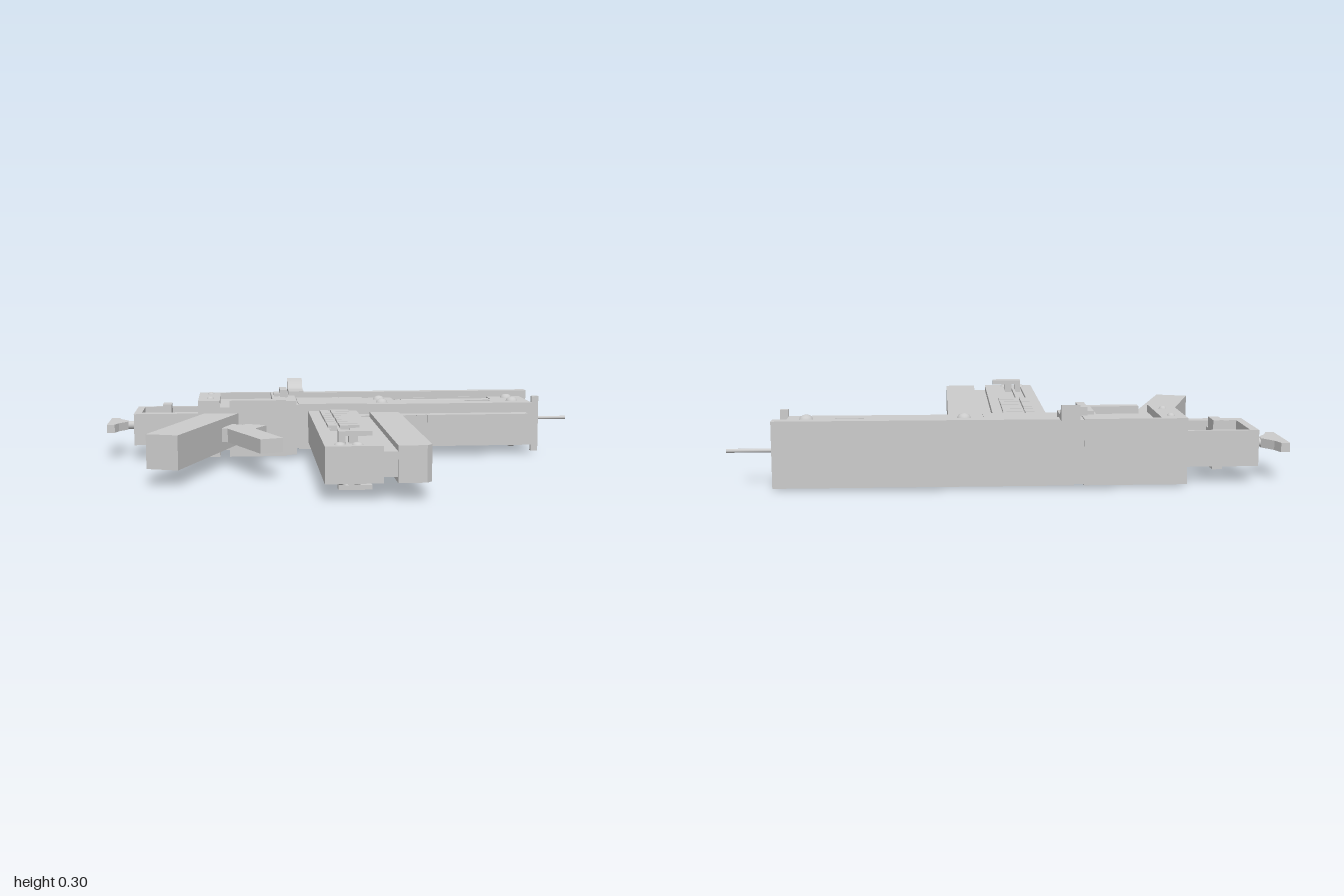
import * as THREE from 'three';

const MID = 0.135; // height of the plane of symmetry
const mat = new THREE.MeshStandardMaterial({ color: 0xcccccc, flatShading: true });
const smooth = new THREE.MeshStandardMaterial({ color: 0xcccccc });

export function createModel() {
  const root = new THREE.Group();

  const add = (name, geo, m = mat) => {
    const mesh = new THREE.Mesh(geo, m);
    mesh.name = name;
    root.add(mesh);
    return mesh;
  };
  // Box given by its limits
  const box = (name, x0, x1, y0, y1, z0, z1) =>
    add(name, new THREE.BoxGeometry(x1 - x0, y1 - y0, z1 - z0)
      .translate((x0 + x1) / 2, (y0 + y1) / 2, (z0 + z1) / 2));
  // Plan outline in (x, z) raised from y0 to y1
  const prism = (name, pts, y0, y1, holes = []) => {
    const v = (list) => list.map(([x, z]) => new THREE.Vector2(x, z));
    const shape = new THREE.Shape(v(pts));
    holes.forEach((h) => shape.holes.push(new THREE.Path(v(h))));
    return add(name, new THREE.ExtrudeGeometry(shape, { depth: y1 - y0, bevelEnabled: false })
      .rotateX(Math.PI / 2).translate(0, y1, 0));
  };
  const rect = (x0, x1, z0, z1) => [[x0, z0], [x1, z0], [x1, z1], [x0, z1]];
  // Rod along x
  const rod = (name, r, x0, x1, y, z) =>
    add(name, new THREE.CylinderGeometry(r, r, x1 - x0, 24)
      .rotateZ(Math.PI / 2).translate((x0 + x1) / 2, y, z), smooth);
  // Same detail on the upper and lower faces: y measured outward from the middle
  const bothBox = (name, x0, x1, h0, h1, z0, z1) => {
    box(name, x0, x1, MID + h0, MID + h1, z0, z1);
    box(name, x0, x1, MID - h1, MID - h0, z0, z1);
  };
  const bothPrism = (name, pts, h0, h1, holes) => {
    prism(name, pts, MID + h0, MID + h1, holes);
    prism(name, pts, MID - h1, MID - h0, holes);
  };
  const bothRivets = (name, r, h, base, spots) => {
    for (const [x, z] of spots) for (const s of [1, -1]) {
      const profile = [[0, h], [r * 0.5, h * 0.9], [r * 0.85, h * 0.55], [r, 0]].reverse();
      const g = new THREE.LatheGeometry(profile.map(([a, b]) => new THREE.Vector2(a, b)), 16);
      if (s < 0) g.rotateX(Math.PI);
      add(name, g.translate(x, MID + s * base, z), smooth);
    }
  };

  // Long housing: core, and face plates with a long slot and a small port
  box('housingCore', -0.22, 0.8, MID - 0.05, MID + 0.05, -0.57, -0.325);
  const port = [[0.52, -0.4], [0.535, -0.425], [0.555, -0.437], [0.637, -0.437], [0.637, -0.405], [0.62, -0.39], [0.53, -0.39]];
  bothPrism('housingFace', rect(-0.22, 0.8, -0.57, -0.325), 0.05, 0.092,
    [rect(0.22, 0.65, -0.555, -0.465), port]);
  bothBox('portInsert', 0.545, 0.625, 0.05, 0.08, -0.425, -0.402);
  bothBox('slotStop', 0.235, 0.26, 0.05, 0.085, -0.55, -0.47);
  rod('slotCylinder', 0.045, 0.26, 0.65, MID + 0.045, -0.51);
  rod('slotCylinder', 0.045, 0.26, 0.65, MID - 0.045, -0.51);
  bothRivets('housingRivet', 0.025, 0.016, 0.092,
    [[0.16, -0.5], [0.16, -0.39], [0.73, -0.515], [0.73, -0.4]]);
  bothPrism('receiverPlate', [[-0.2, -0.557], [-0.11, -0.557], [-0.11, -0.585], [-0.015, -0.585],
    [-0.015, -0.557], [0.09, -0.557], [0.09, -0.325], [-0.2, -0.325]], 0.09, 0.096);

  // Back plate, end lip and thin barrel rod
  box('backPlate', -0.22, 0.83, MID - 0.118, MID + 0.118, -0.605, -0.56);
  box('endLip', 0.8, 0.83, MID - 0.118, MID + 0.118, -0.345, -0.325);
  rod('barrelRod', 0.007, 0.79, 1, MID, -0.512);

  // Front rail with a narrow groove
  box('frontRail', 0.05, 0.275, MID - 0.05, MID + 0.05, -0.33, -0.27);
  box('railGroove', 0.275, 0.34, MID - 0.05, MID + 0.05, -0.33, -0.278);
  box('railRib', 0.295, 0.325, MID - 0.05, MID + 0.05, -0.33, -0.27);
  box('frontRail', 0.34, 0.775, MID - 0.05, MID + 0.05, -0.33, -0.27);

  // Rear block with a recess that opens to the front through a channel
  box('rearBlockCore', -0.62, -0.255, MID - 0.09, MID + 0.09, -0.605, -0.285);
  const rim = [[-0.62, -0.605], [-0.255, -0.605], [-0.255, -0.285], [-0.49, -0.285], [-0.49, -0.325],
    [-0.31, -0.325], [-0.31, -0.587], [-0.53, -0.587], [-0.53, -0.285], [-0.62, -0.285]];
  bothPrism('rearBlockRim', rim, 0.09, 0.118);
  box('joinCollar', -0.255, -0.21, MID - 0.114, MID + 0.114, -0.603, -0.288);
  bothRivets('rearBlockBolt', 0.014, 0.009, 0.118, [[-0.57, -0.543], [-0.57, -0.38]]);

  // Hinge and curved catch on the top
  box('hingeBase', -0.3, -0.24, 0.25, 0.265, -0.505, -0.43);
  box('hingeBar', -0.275, -0.245, 0.25, 0.283, -0.525, -0.405);
  const hook = new THREE.Shape();
  hook.moveTo(0.49, 0.24);
  hook.lineTo(0.6, 0.24);
  hook.lineTo(0.6, 0.253);
  hook.lineTo(0.648, 0.253);
  hook.lineTo(0.648, 0.31);
  hook.lineTo(0.635, 0.308);
  hook.quadraticCurveTo(0.61, 0.27, 0.575, 0.267);
  hook.lineTo(0.49, 0.267);
  add('catchHook', new THREE.ExtrudeGeometry(hook, { depth: 0.065, bevelEnabled: false, curveSegments: 8 })
    .rotateY(Math.PI / 2).translate(-0.235, 0, 0));

  // Open rear frame with plunger rod, block and flared pull handle
  prism('rearFrame', rect(-0.885, -0.61, -0.56, -0.295), 0.07, 0.2, [rect(-0.855, -0.62, -0.543, -0.345)]);
  rod('plungerRod', 0.017, -0.95, -0.61, MID, -0.442);
  box('plungerBlock', -0.772, -0.735, 0.045, 0.225, -0.49, -0.405);
  box('plungerCrossbar', -0.765, -0.74, 0.09, 0.18, -0.535, -0.355);
  prism('pullHandle', [[-1, -0.553], [-0.968, -0.553], [-0.955, -0.51], [-0.92, -0.46], [-0.92, -0.425],
    [-0.955, -0.375], [-0.968, -0.333], [-1, -0.333]], 0.118, 0.152);

  // Slanted grip and bent trigger lever
  prism('grip', [[-0.596, -0.29], [-0.452, -0.29], [-0.676, 0.326], [-0.794, 0.283]], 0.07, 0.2);
  prism('triggerLever', [[-0.52, -0.09], [-0.484, -0.22], [-0.436, -0.187], [-0.42, -0.214],
    [-0.34, -0.166], [-0.388, -0.075], [-0.286, 0.187], [-0.372, 0.219], [-0.497, -0.08]], 0.11, 0.165);

  // Magazine: main body, recessed web, and chamfered front bar
  box('magazineCore', -0.16, 0.045, 0.08, 0.19, -0.33, 0.645);
  bothPrism('magazineFace', rect(-0.16, 0.045, -0.33, 0.645), 0.055, 0.066,
    [rect(-0.112, -0.08, 0.2, 0.58), rect(-0.07, -0.035, 0.2, 0.58)]);
  box('magazineWeb', 0.04, 0.1, 0.09, 0.18, -0.33, 0.64);
  prism('magazineBar', [[0.095, -0.265], [0.2, -0.265], [0.217, -0.245], [0.217, 0.622],
    [0.197, 0.645], [0.095, 0.645]], MID - 0.066, MID + 0.066);

  // Magazine ribs in two columns, sliding latch and end bolts
  for (let i = 0; i < 8; i++) {
    const z = -0.28 + i * 0.0605;
    bothBox('magazineRib', -0.115, -0.08, 0.06, 0.076, z, z + 0.052);
    bothBox('magazineRib', -0.07, 0.005, 0.06, 0.076, z, z + 0.052);
  }
  bothBox('latch', -0.105, 0.015, 0.088, 0.105, 0.507, 0.553);
  bothBox('latchStem', -0.105, -0.08, 0.05, 0.09, 0.507, 0.553);
  bothBox('latchStem', -0.068, -0.037, 0.05, 0.09, 0.507, 0.553);
  bothRivets('magazineBolt', 0.02, 0.009, 0.066, [[-0.105, 0.607], [-0.043, 0.607]]);

  return root;
}
